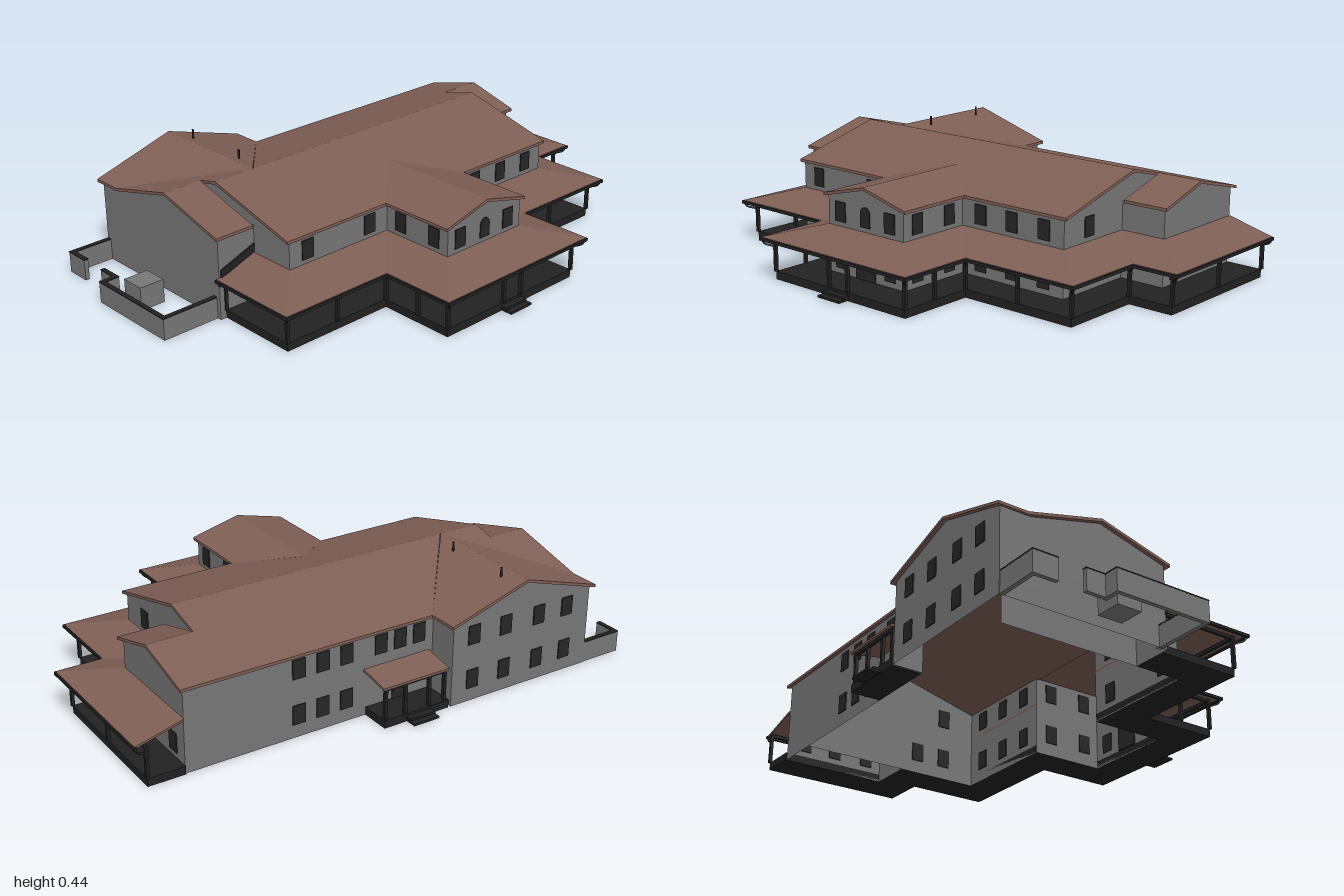
import * as THREE from 'three';

export function createModel() {
  const house = new THREE.Group();
  house.name = 'house';
  const mat = (name, color) => new THREE.MeshStandardMaterial({ name, color, side: THREE.DoubleSide });
  const roofMat = mat('brown roof', 0x7f5f55);
  const wallMat = mat('grey wall', 0x787878);
  const darkMat = mat('dark trim', 0x222222);
  const glassMat = mat('window dark', 0x262626);

  const add = (name, geo, material, x = 0, y = 0, z = 0) => {
    const m = new THREE.Mesh(geo, material);
    m.name = name;
    m.position.set(x, y, z);
    house.add(m);
    return m;
  };

  // Box between two corners
  const box = (name, x0, x1, y0, y1, z0, z1, material) =>
    add(name, new THREE.BoxGeometry(x1 - x0, y1 - y0, z1 - z0), material,
      (x0 + x1) / 2, (y0 + y1) / 2, (z0 + z1) / 2);

  // Straight bar from a to b (x, z), used for fences, gutters and beams
  const bar = (name, a, b, y0, y1, w, material) => {
    const dx = b[0] - a[0], dz = b[1] - a[1];
    const m = add(name, new THREE.BoxGeometry(Math.hypot(dx, dz) + w, y1 - y0, w), material,
      (a[0] + b[0]) / 2, (y0 + y1) / 2, (a[1] + b[1]) / 2);
    m.rotation.y = -Math.atan2(dz, dx);
  };
  const chain = (name, pts, y0, y1, w, material) =>
    pts.slice(1).forEach((p, i) => bar(name, pts[i], p, y0, y1, w, material));

  // Polygon of [x, y, z] points thickened downwards by t
  const slab = (name, pts, t, material) => {
    const flat = pts.map(p => new THREE.Vector2(p[0], p[2]));
    const pos = [];
    const tri = (a, b, c) => pos.push(...a, ...b, ...c);
    const low = pts.map(p => [p[0], p[1] - t, p[2]]);
    for (const f of THREE.ShapeUtils.triangulateShape(flat, [])) {
      const [a, b, c] = f.map(i => flat[i]);
      const up = (b.x - a.x) * (c.y - a.y) - (b.y - a.y) * (c.x - a.x) < 0;
      const [i, j, k] = up ? f : [f[0], f[2], f[1]];
      tri(pts[i], pts[j], pts[k]);
      tri(low[i], low[k], low[j]);
    }
    const ccw = THREE.ShapeUtils.area(flat) > 0;
    pts.forEach((p, i) => {
      const j = (i + 1) % pts.length;
      const [s, e] = ccw ? [j, i] : [i, j];
      tri(pts[s], low[s], low[e]);
      tri(pts[s], low[e], pts[e]);
    });
    const geo = new THREE.BufferGeometry();
    geo.setAttribute('position', new THREE.Float32BufferAttribute(pos, 3));
    geo.computeVertexNormals();
    add(name, geo, material);
  };
  const roof = (name, pts, height) =>
    slab(name, pts.map(([x, z]) => [x, height(x, z), z]), 0.011, roofMat);

  // Main, wing and extension roof slopes
  const eave = 0.315, pitch = 0.258;
  const front = (x, z) => eave + (0.22 - z) * pitch;
  const back = (x, z) => eave + (z + 0.54) * pitch;
  roof('mainRoofFront', [[-0.635, -0.16], [0.66, -0.16], [0.66, 0.22], [-0.635, 0.22]], front);
  roof('mainRoofBack', [[-0.465, -0.16], [0.66, -0.16], [0.66, -0.31], [0.835, -0.31],
    [0.835, -0.54], [-0.145, -0.54]], back);
  roof('mainRoofBackEnd', [[-0.465, -0.16], [-0.79, -0.54], [-0.79, -0.245],
    [-0.635, -0.245], [-0.635, -0.16]], back);
  roof('leftExtensionRoof', [[0.66, -0.31], [0.835, -0.31], [0.835, -0.1], [0.66, -0.1]],
    (x, z) => eave + (-0.1 - z) * 0.281);
  roof('rightExtensionRoof', [[-0.635, -0.245], [-0.79, -0.245], [-0.79, 0.04], [-0.635, 0.04]],
    (x, z) => eave + (0.04 - z) * 0.267);
  for (const s of [-1, 1]) {
    const fx = 0.0125 + s * 0.1975, bx = -0.4675 + s * 0.3225;
    roof('frontWingRoof', [[0.0125, 0.03], [0.0125, 0.515], [fx, 0.515], [fx, 0.22]],
      x => eave + (0.1975 - Math.abs(x - 0.0125)) * 0.25);
    roof('backWingRoof', [[-0.4675, -0.16], [-0.4675, -0.655], [bx, -0.655], [bx, -0.54]],
      x => eave + (0.3225 - Math.abs(x + 0.4675)) * 0.304);
  }

  // Walls from a to b (x, z); peaks are [distance, y] points along the top
  const wall = (name, a, b, peaks = []) => {
    const dx = b[0] - a[0], dz = b[1] - a[1], len = Math.hypot(dx, dz);
    const outline = [[0, 0], [len, 0], [len, 0.31], ...peaks, [0, 0.31]];
    const shape = new THREE.Shape(outline.map(p => new THREE.Vector2(...p)));
    add(name, new THREE.ShapeGeometry(shape), wallMat, a[0], 0, a[1]).rotation.y = -Math.atan2(dz, dx);
  };
  const inner = [[-0.62, 0.025], [-0.62, 0.21], [-0.17, 0.21], [-0.17, 0.505], [0.195, 0.505],
    [0.195, 0.21], [0.645, 0.21], [0.645, -0.115], [0.82, -0.115], [0.82, -0.53]];
  [0, 1, 2, 4, 5, 6, 7].filter(i => i !== 0 && i !== 6).concat([]).forEach(i => {
    wall('frontWall', inner[i], inner[i + 1]);
  });
  wall('frontWingGable', inner[3], inner[4], [[0.1825, 0.358]]);
  wall('mainGableLeft', [0.645, -0.525], [0.645, 0.21], [[0.365, 0.406]]);
  wall('mainGableRight', [-0.62, -0.525], [-0.62, 0.21], [[0.365, 0.406]]);
  wall('extensionGableLeft', [0.82, -0.525], [0.82, -0.115], [[0.215, 0.367]]);
  wall('extensionGableRight', [-0.775, -0.64], [-0.775, 0.025], [[0.395, 0.384], [0.1, 0.31]]);
  wall('extensionFrontRight', [-0.775, 0.025], [-0.62, 0.025]);
  wall('backWall', [-0.16, -0.525], [0.82, -0.525]);
  wall('backWingSide', [-0.16, -0.64], [-0.16, -0.525]);
  wall('backWingGable', [-0.775, -0.64], [-0.16, -0.64], [[0.3075, 0.406]]);

  // Porch roof, following the walls round the front and left side
  const eaves = [[-0.785, 0.025], [-0.785, 0.385], [-0.34, 0.385], [-0.34, 0.675], [0.365, 0.675],
    [0.365, 0.385], [0.82, 0.385], [0.82, 0.065], [0.995, 0.065], [0.995, -0.53]];
  const deck = [[-0.75, 0.025], [-0.75, 0.345], [-0.305, 0.345], [-0.305, 0.64], [0.33, 0.64],
    [0.33, 0.345], [0.785, 0.345], [0.785, 0.03], [0.957, 0.03], [0.957, -0.53]];
  const at = (p, y) => [p[0], y, p[1]];
  for (let i = 0; i < 9; i++) {
    slab('porchRoof', [at(eaves[i], 0.157), at(eaves[i + 1], 0.157),
      at(inner[i + 1], 0.203), at(inner[i], 0.203)], 0.008, roofMat);
  }
  chain('gutter', eaves, 0.144, 0.155, 0.01, darkMat);
  chain('porchBeam', deck, 0.138, 0.15, 0.01, darkMat);
  slab('porchDeck', [...deck, ...[...inner].reverse()].map(p => at(p, 0.03)), 0.03, darkMat);

  // Stepped flashing above the porch end
  slab('flashing', [[-0.77, 0.188, 0.027], [-0.625, 0.242, 0.027],
    [-0.625, 0.242, 0.033], [-0.77, 0.188, 0.033]], 0.03, darkMat);

  // Porch posts, with curved brackets on the corners
  const post = (x, z) => box('porchPost', x - 0.006, x + 0.006, 0.03, 0.15, z - 0.006, z + 0.006, darkMat);
  deck.forEach(([x, z], i) => {
    post(x, z);
    const ox = eaves[i][0] - x, oz = eaves[i][1] - z;
    const curve = new THREE.CatmullRomCurve3([[0, 0.11], [0.15, 0.122], [0.75, 0.132], [0.95, 0.148]]
      .map(([t, y]) => new THREE.Vector3(x + ox * t, y, z + oz * t)));
    add('porchBracket', new THREE.TubeGeometry(curve, 8, 0.004, 5), darkMat);
  });
  [[-0.03, 0.64], [0.06, 0.64], [0.957, -0.25], [0.33, 0.5], [-0.305, 0.5],
    [0.56, 0.345], [-0.53, 0.345]].forEach(p => post(...p));

  // Back porch
  slab('backPorchRoof', [[-0.145, 0.178, -0.525], [0.13, 0.178, -0.525],
    [0.13, 0.157, -0.645], [-0.145, 0.157, -0.645]], 0.009, roofMat);
  box('backPorchDeck', -0.15, 0.12, 0, 0.03, -0.64, -0.525, darkMat);
  box('backPorchBeam', -0.14, 0.12, 0.138, 0.15, -0.635, -0.625, darkMat);
  [-0.135, -0.07, 0.03, 0.112].forEach(x => post(x, -0.63));

  // Entrance steps
  for (const [reach, y] of [[0.025, 0.02], [0.047, 0.011]]) {
    box('frontStep', -0.04, 0.065, y - 0.008, y, 0.63, 0.64 + reach, darkMat);
    box('backStep', -0.075, 0.03, y - 0.008, y, -0.64 - reach, -0.63, darkMat);
  }

  // Windows and doors: thin plates facing z or x
  const plate = (name, x, z, y0, y1, w, facesX) => facesX
    ? box(name, x - 0.004, x + 0.004, y0, y1, z - w / 2, z + w / 2, glassMat)
    : box(name, x - w / 2, x + w / 2, y0, y1, z - 0.004, z + 0.004, glassMat);
  const upper = (x, z, side) => plate('upperWindow', x, z, 0.22, 0.292, 0.05, side);
  const lower = (x, z, side) => plate('lowerWindow', x, z, 0.05, 0.122, 0.05, side);
  const both = (x, z, side) => { upper(x, z, side); lower(x, z, side); };
  [-0.54, -0.255, 0.28, 0.42, 0.56].forEach(x => both(x, 0.21));
  [-0.11, 0.13].forEach(x => both(x, 0.505));
  [0.44, 0.28].forEach(z => { both(0.195, z, true); both(-0.17, z, true); });
  both(0.645, 0.075, true);
  lower(0.645, -0.045, true);
  [-0.18, -0.32, -0.45].forEach(z => lower(0.82, z, true));
  [0.2, 0.295, 0.39].forEach(x => both(x, -0.525));
  [0.06, -0.02, -0.1].forEach(x => upper(x, -0.525));
  [-0.25, -0.39, -0.54, -0.67].forEach(x => both(x, -0.64));
  plate('archedWindow', 0.0125, 0.505, 0.22, 0.272, 0.046);
  add('archedWindowTop', new THREE.CylinderGeometry(0.023, 0.023, 0.008, 16), glassMat,
    0.0125, 0.27, 0.505).rotation.x = Math.PI / 2;
  plate('frontDoor', 0.0125, 0.505, 0.03, 0.122, 0.095);
  plate('backDoor', -0.02, -0.525, 0.03, 0.12, 0.06);

  // Yard fence with dark coping, and the utility box inside it
  for (const run of [[[-0.78, -0.63], [-0.935, -0.63], [-0.935, -0.55]],
    [[-0.935, -0.43], [-0.935, -0.357], [-0.99, -0.357], [-0.99, 0], [-0.78, 0]]]) {
    chain('yardFence', run, 0, 0.078, 0.016, wallMat);
    chain('fenceCoping', run, 0.078, 0.082, 0.018, darkMat);
  }
  box('utilityBox', -0.932, -0.835, 0, 0.088, -0.31, -0.215, wallMat);

  // Roof vents
  [-0.29, -0.56].forEach(z =>
    add('roofVent', new THREE.CylinderGeometry(0.004, 0.004, 0.05, 8), darkMat, -0.425, 0.41, z));

  return house;
}
